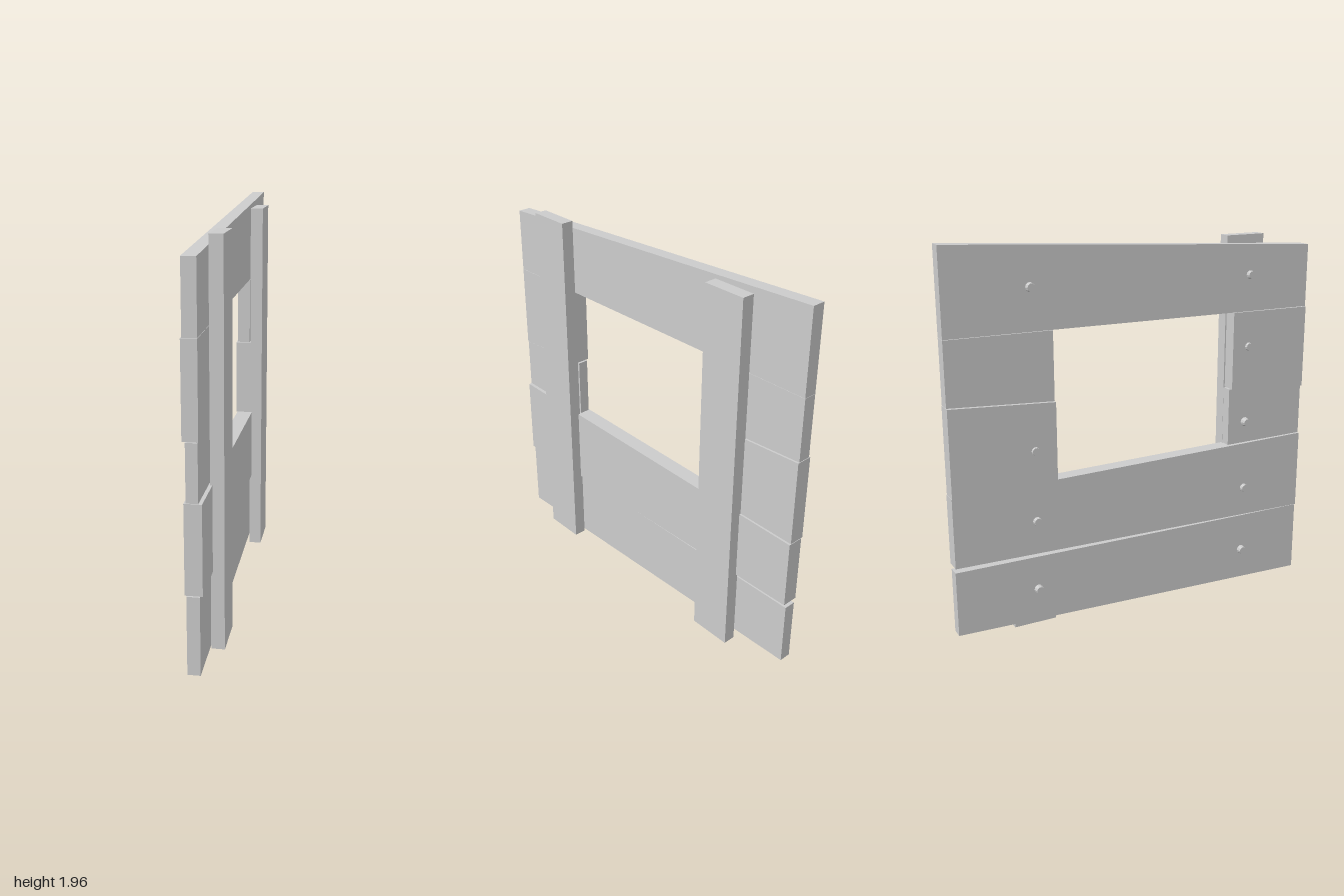
import * as THREE from 'three';

const material = new THREE.MeshStandardMaterial({ color: 0xcccccc, flatShading: true });

// Board standing in the z-y plane: corners as [z, y], thickness from x0 to x1
function board(name, corners, x0, x1) {
  const shape = new THREE.Shape(corners.map(([z, y]) => new THREE.Vector2(-z, y)));
  const geometry = new THREE.ExtrudeGeometry(shape, { depth: x1 - x0, bevelEnabled: false });
  geometry.rotateY(Math.PI / 2).translate(x0, 0, 0);
  const mesh = new THREE.Mesh(geometry, material);
  mesh.name = name;
  return mesh;
}

export function createModel() {
  const group = new THREE.Group();
  group.name = 'plankPanel';

  // Uneven planks: z and bottom/top heights at each end, then thickness range
  const planks = [
    ['bottomPlank', 1, 0, 0.38, -1, 0.065, 0.4, -0.055, 0.005],
    ['lowerPlank', 1, 0.385, 0.81, -1, 0.425, 0.78, -0.062, 0.018],
    ['leftLowerShortPlank', 1, 0.812, 1.08, 0.537, 0.808, 1.115, -0.052, 0.002],
    ['leftUpperShortPlank', 1, 1.083, 1.52, 0.545, 1.118, 1.525, -0.066, 0.005],
    ['rightLowerShortPlank', -0.462, 0.788, 1.185, -1, 0.783, 1.22, -0.069, 0.01],
    ['rightUpperShortPlank', -0.465, 1.188, 1.533, -1, 1.223, 1.538, -0.06, 0.004],
    ['topPlank', 1, 1.522, 1.85, -1, 1.54, 1.96, -0.06, 0.005],
  ];
  for (const [name, zA, lowA, highA, zB, lowB, highB, x0, x1] of planks) {
    group.add(board(name, [[zA, lowA], [zB, lowB], [zB, highB], [zA, highA]], x0, x1));
  }

  // Upright battens holding the planks together
  for (const [name, z0, z1] of [['leftBatten', 0.76, 0.54], ['rightBatten', -0.46, -0.685]]) {
    group.add(board(name, [[z0, 0], [z1, 0], [z1, 1.912], [z0, 1.912]], 0.008, 0.072));
  }

  // Bolt heads on the outer face
  const boltGeometry = new THREE.CylinderGeometry(0.019, 0.025, 0.03, 10).rotateZ(Math.PI / 2);
  const bolts = [
    [0.64, [0.18, 0.55, 0.925, 1.34, 1.715]],
    [-0.575, [0.22, 0.59, 0.955, 1.745]],
  ];
  for (const [z, heights] of bolts) {
    for (const y of heights) {
      const bolt = new THREE.Mesh(boltGeometry, material);
      bolt.name = 'boltHead';
      bolt.position.set(-0.065, y, z);
      group.add(bolt);
    }
  }
  return group;
}
